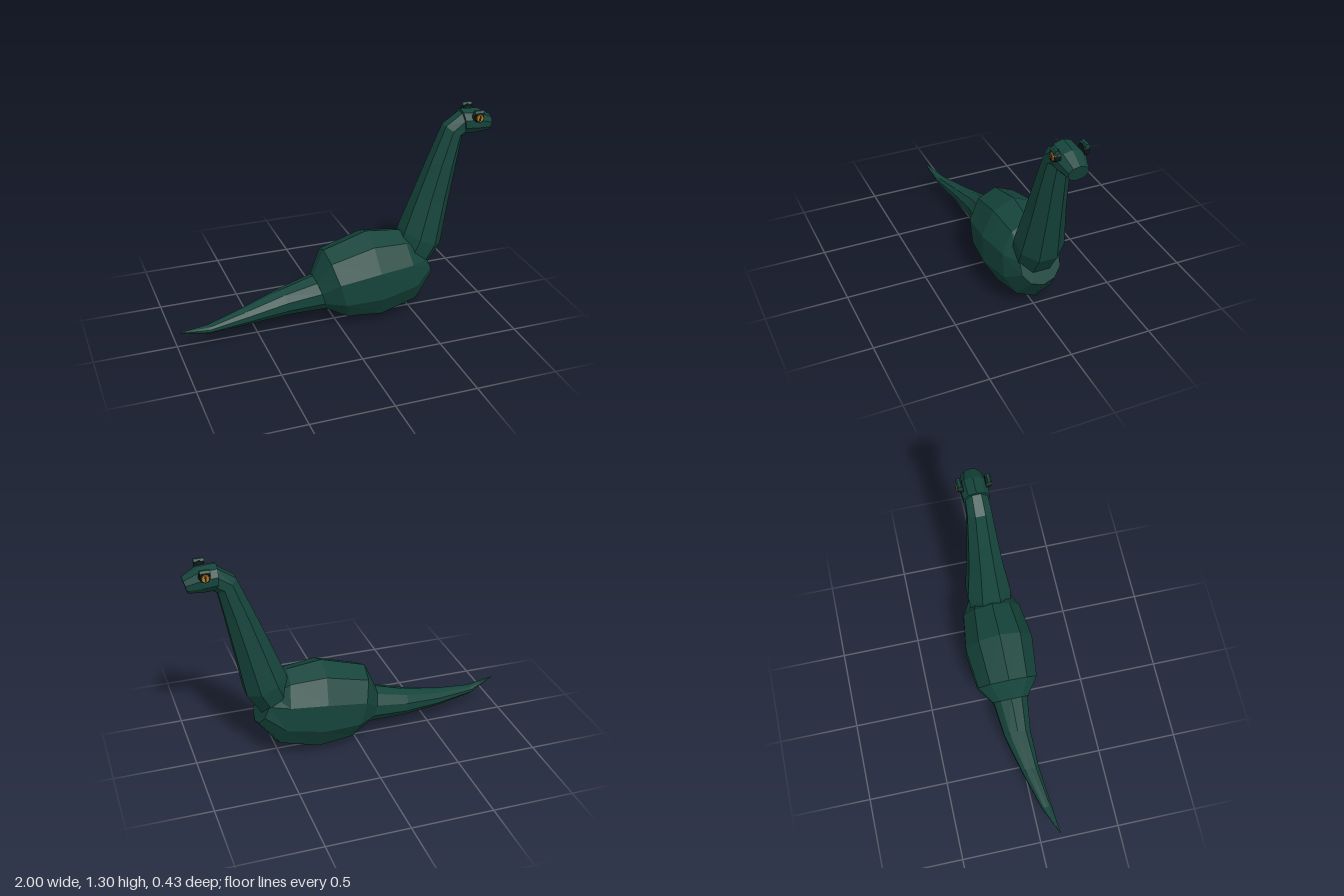
import * as THREE from 'three';

const skin = new THREE.MeshStandardMaterial({ color: 0x15443b, flatShading: true });
const dark = new THREE.MeshStandardMaterial({ color: 0x0c1a17, flatShading: true });
const amber = new THREE.MeshStandardMaterial({ color: 0xb87a20, flatShading: true });

// Faceted loft through tilted rings: [topX, topY, bottomX, bottomY, centreZ, halfWidth].
// With flat = true, a face instead of an edge lies along the top and bottom.
function loft(name, rings, sides, flat = false) {
  const turn = flat ? 0.5 : 0;
  const grow = flat ? 1 / Math.cos(Math.PI / sides) : 1;
  const centre = ([tx, ty, bx, by, z]) => [(tx + bx) / 2, (ty + by) / 2, z];
  const point = (ring, j) => {
    const [tx, ty, bx, by, z, w] = ring;
    const a = ((j + turn) / sides) * Math.PI * 2;
    const c = (Math.cos(a) * grow) / 2;
    const [cx, cy] = centre(ring);
    return [cx + c * (tx - bx), cy + c * (ty - by), z + Math.sin(a) * w * grow];
  };
  const pos = [];
  const tri = (...corners) => corners.forEach((p) => pos.push(...p));
  const first = rings[0], last = rings[rings.length - 1];
  for (let j = 0; j < sides; j++) {
    for (let i = 0; i < rings.length - 1; i++) {
      const a = point(rings[i], j), b = point(rings[i], j + 1);
      const c = point(rings[i + 1], j + 1), d = point(rings[i + 1], j);
      tri(a, b, c);
      tri(a, c, d);
    }
    tri(centre(first), point(first, j + 1), point(first, j));
    tri(centre(last), point(last, j), point(last, j + 1));
  }
  const geo = new THREE.BufferGeometry();
  geo.setAttribute('position', new THREE.Float32BufferAttribute(pos, 3));
  geo.computeVertexNormals();
  const mesh = new THREE.Mesh(geo, skin);
  mesh.name = name;
  return mesh;
}

function part(name, geo, material, x, y, z) {
  const mesh = new THREE.Mesh(geo, material);
  mesh.name = name;
  mesh.position.set(x, y, z);
  return mesh;
}

// Round eye in a dark socket, with a slit pupil and a brow above it
function makeEye(side) {
  const eye = new THREE.Group();
  eye.name = side > 0 ? 'leftEye' : 'rightEye';
  const disc = (r, depth) => new THREE.CylinderGeometry(r * 0.8, r, depth, 10).rotateX((side * Math.PI) / 2);
  eye.add(
    part('socket', disc(0.036, 0.034), dark, 0.885, 1.255, side * 0.083),
    part('iris', disc(0.026, 0.012), amber, 0.885, 1.255, side * 0.1),
    part('pupil', new THREE.BoxGeometry(0.009, 0.032, 0.006), dark, 0.885, 1.255, side * 0.105),
    part('brow', new THREE.CylinderGeometry(0.016, 0.016, 0.06, 6).rotateZ(Math.PI / 2), skin, 0.885, 1.285, side * 0.086),
  );
  return eye;
}

export function createModel() {
  const model = new THREE.Group();
  model.name = 'longNeckedCreature';

  // Barrel-shaped body
  model.add(loft('body', [
    [-0.14, 0.33, -0.07, 0.1, 0, 0.12],
    [-0.07, 0.49, 0.06, 0.025, 0, 0.198],
    [0.205, 0.575, 0.27, 0, 0, 0.225],
    [0.42, 0.55, 0.51, 0.065, 0, 0.192],
    [0.53, 0.46, 0.63, 0.23, 0, 0.128],
  ], 10));

  // Tail sweeping sideways to a raised tip
  model.add(loft('tail', [
    [-1, 0.168, -0.998, 0.164, 0.12, 0.002],
    [-0.82, 0.157, -0.82, 0.106, 0.077, 0.032],
    [-0.57, 0.205, -0.56, 0.096, 0.028, 0.058],
    [-0.34, 0.268, -0.31, 0.098, -0.003, 0.088],
    [-0.13, 0.33, -0.06, 0.1, 0, 0.115],
  ], 10));

  // Neck rising from the shoulders and bending into the head
  model.add(loft('neck', [
    [0.41, 0.44, 0.59, 0.3, 0, 0.125],
    [0.44, 0.55, 0.68, 0.44, 0, 0.136],
    [0.525, 0.77, 0.73, 0.72, 0, 0.106],
    [0.61, 0.985, 0.775, 0.96, 0, 0.087],
    [0.7, 1.2, 0.808, 1.125, 0, 0.072],
    [0.81, 1.275, 0.83, 1.135, 0, 0.066],
  ], 8, true));

  // Head with a blunt snout
  model.add(loft('head', [
    [0.803, 1.293, 0.815, 1.137, 0, 0.08],
    [0.915, 1.285, 0.88, 1.135, 0, 0.088],
    [1, 1.235, 0.975, 1.14, 0, 0.06],
  ], 10));

  for (const side of [1, -1]) model.add(makeEye(side));
  return model;
}
